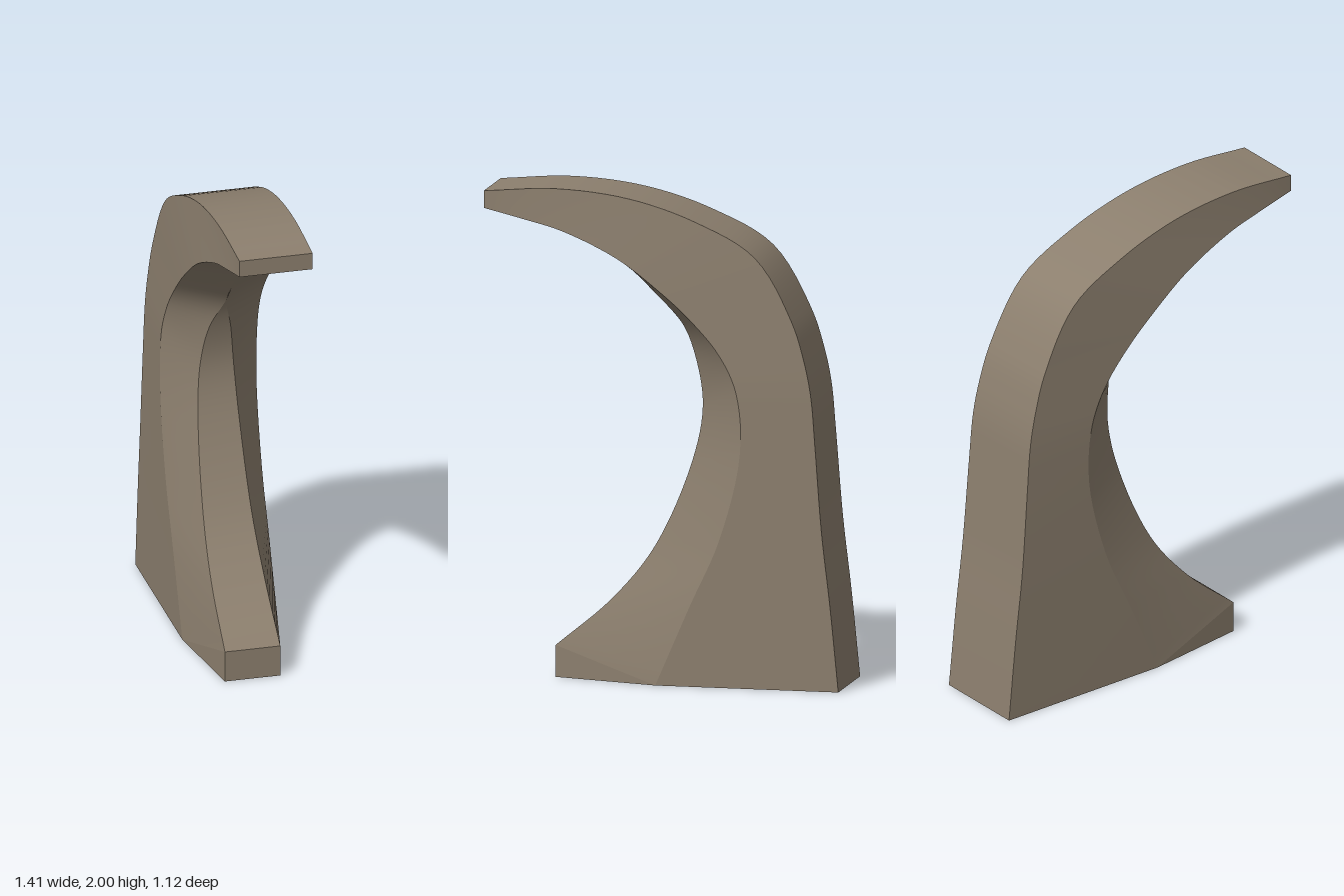
import * as THREE from 'three';

// Cross-sections from foot to tip: [along, height, half width] of the outer edge, the crease and the inner edge
const SECTIONS = [
  [[-0.72, 0, 0.196], [0.033, 0, 0.2], [0.468, 0.13, 0.115]],
  [[-0.685, 0.35, 0.195], [-0.11, 0.33, 0.2], [0.235, 0.33, 0.11]],
  [[-0.65, 0.65, 0.194], [-0.23, 0.6, 0.2], [0.06, 0.55, 0.1]],
  [[-0.622, 1.0, 0.19], [-0.315, 0.95, 0.2], [-0.09, 0.9, 0.085]],
  [[-0.604, 1.2, 0.187], [-0.3, 1.2, 0.2], [-0.13, 1.12, 0.07]],
  [[-0.575, 1.34, 0.183], [-0.23, 1.35, 0.195], [-0.1, 1.3, 0.045]],
  [[-0.522, 1.5, 0.177], [-0.108, 1.49, 0.19], [-0.036, 1.44, 0.002]],
  [[-0.37, 1.75, 0.168], [0.03, 1.61, 0.187], [0.075, 1.56, 0.002]],
  [[-0.127, 1.885, 0.163], [0.2, 1.73, 0.18], [0.22, 1.69, 0.002]],
  [[0.15, 1.97, 0.158], [0.425, 1.83, 0.168], [0.435, 1.8, 0.002]],
  [[0.45, 2.0, 0.155], [0.59, 1.873, 0.16], [0.595, 1.855, 0.002]],
  [[0.75, 1.98, 0.152], [0.75, 1.91, 0.152], [0.75, 1.91, 0.002]],
];
const STEPS = 66;

// Smooth rail through one column of the sections, on the front (+1) or back (-1)
function rail(column, side) {
  const points = SECTIONS.map((s) => {
    const [u, y, h] = s[column];
    const shift = 0.012 + (column === 2 ? 0.2 * h : 0);
    return new THREE.Vector3(u, y, shift + side * h);
  });
  return new THREE.CatmullRomCurve3(points, false, 'centripetal').getPoints(STEPS);
}

function geometryFrom(points, index) {
  const g = new THREE.BufferGeometry().setFromPoints(points);
  g.setIndex(index);
  g.computeVertexNormals();
  return g;
}

// Smooth band between two rails; separate bands keep the long edges sharp
function band(a, b) {
  const index = [];
  const n = a.length;
  for (let i = 0; i < n - 1; i++) {
    index.push(i, n + i, n + i + 1, i, n + i + 1, i + 1);
  }
  return geometryFrom([...a, ...b], index);
}

// Flat polygon as a fan
function face(points) {
  const index = [];
  for (let i = 1; i < points.length - 1; i++) index.push(0, i, i + 1);
  return geometryFrom(points, index);
}

export function createModel() {
  const model = new THREE.Group();
  model.name = 'curvedHalfArch';
  const stone = new THREE.MeshStandardMaterial({ color: 0x8c7f6e });
  stone.name = 'stone';

  const arch = new THREE.Group();
  arch.name = 'arch';
  arch.rotation.y = THREE.MathUtils.degToRad(-34.6);
  model.add(arch);

  const add = (name, geometry) => {
    const mesh = new THREE.Mesh(geometry, stone);
    mesh.name = name;
    arch.add(mesh);
  };

  const [outerF, creaseF, innerF] = [0, 1, 2].map((c) => rail(c, 1));
  const [outerB, creaseB, innerB] = [0, 1, 2].map((c) => rail(c, -1));

  // Long faces around the section
  add('frontFace', band(outerF, creaseF));
  add('frontChamfer', band(creaseF, innerF));
  add('innerFace', band(innerF, innerB));
  add('backChamfer', band(innerB, creaseB));
  add('backFace', band(creaseB, outerB));
  add('outerFace', band(outerB, outerF));

  // Foot: vertical toe, its sides and the underside
  const toeF = innerF[0].clone().setY(0);
  const toeB = innerB[0].clone().setY(0);
  add('footFrontSide', face([creaseF[0], toeF, innerF[0]]));
  add('footToe', face([toeF, toeB, innerB[0], innerF[0]]));
  add('footBackSide', face([toeB, creaseB[0], innerB[0]]));
  add('footUnderside', face([outerB[0], creaseB[0], toeB, toeF, creaseF[0], outerF[0]]));

  // Blunt end of the arch
  add('tipEnd', face([outerF[STEPS], creaseF[STEPS], creaseB[STEPS], outerB[STEPS]]));

  return model;
}
